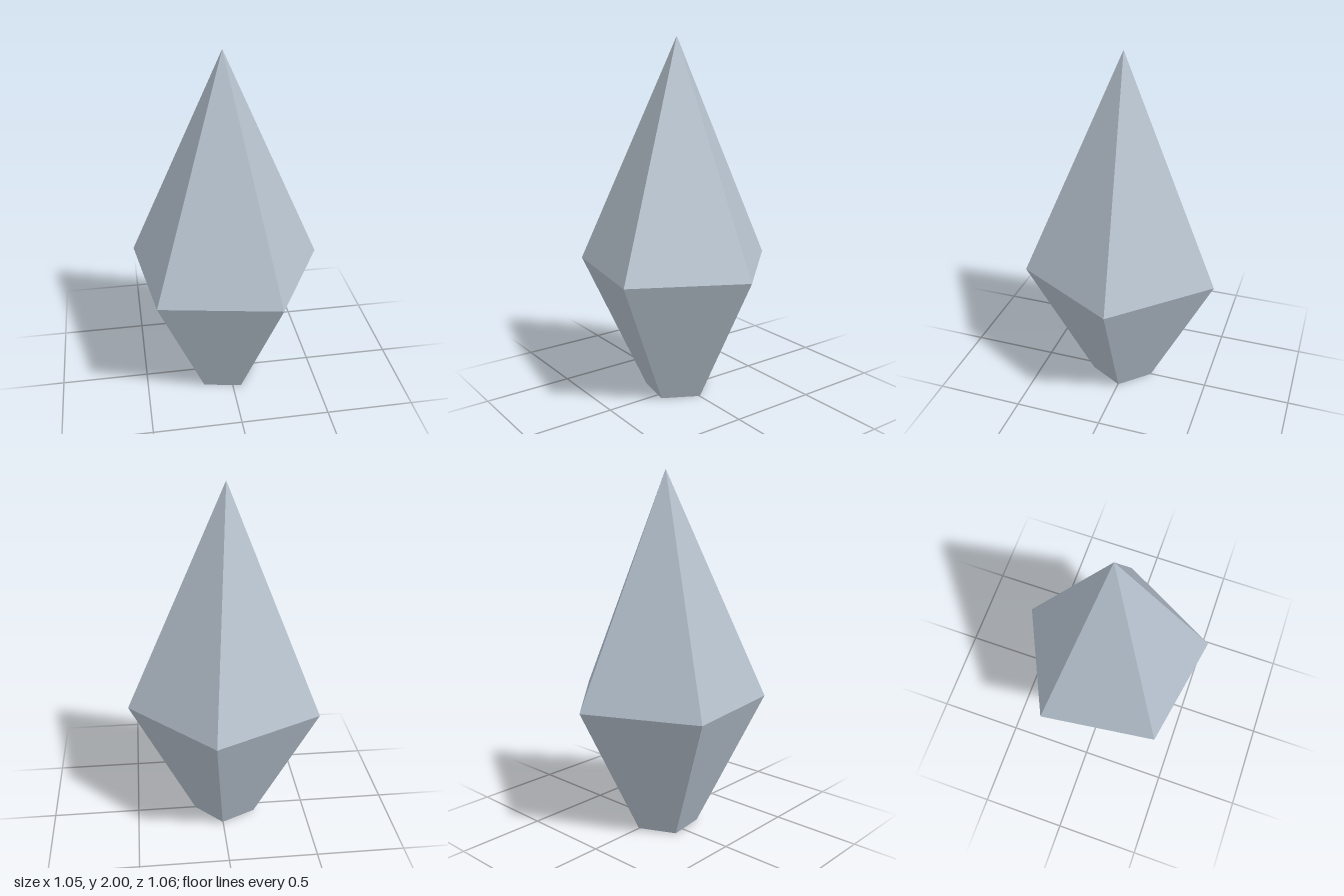
import * as THREE from 'three';

export function createModel() {
  const model = new THREE.Group();
  model.name = 'crystal';

  const paleBlueGrey = new THREE.MeshStandardMaterial({ color: 0xb4c0cc, flatShading: true });
  paleBlueGrey.name = 'paleBlueGrey';

  // Five-sided shard: flat foot, wide girdle, pointed tip
  const profile = [
    [0, 0],
    [0.187, 0],
    [0.561, 0.755],
    [0, 2],
  ].map(([r, y]) => new THREE.Vector2(r, y));

  const shard = new THREE.Mesh(new THREE.LatheGeometry(profile, 5, 0.445), paleBlueGrey);
  shard.name = 'crystalShard';
  // The axis sits off centre so that the pentagon's bounds are centred
  shard.position.set(-0.032, 0, 0.022);
  model.add(shard);

  return model;
}
